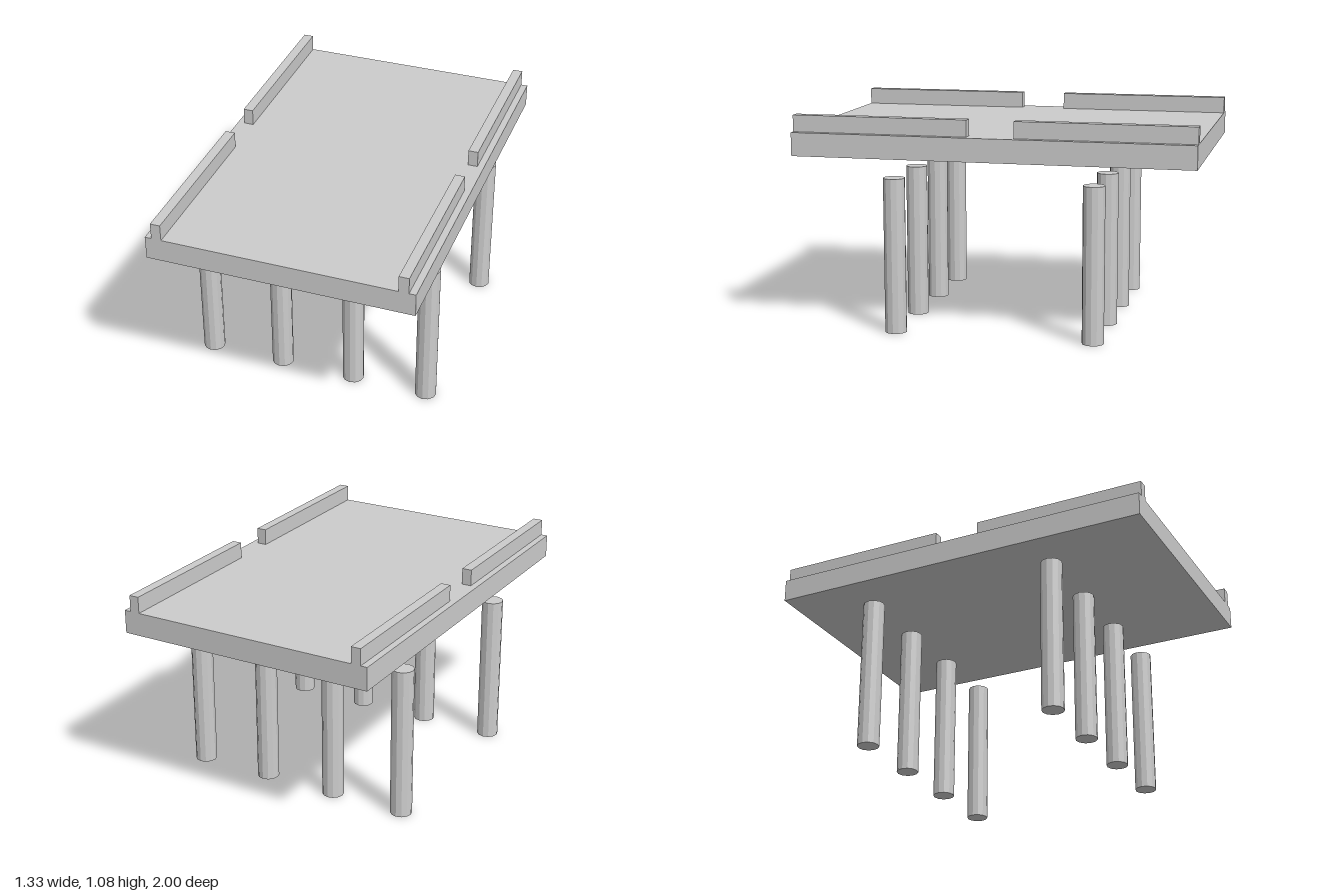
import * as THREE from 'three';

export function createModel() {
  const model = new THREE.Group();
  model.name = 'pierDeck';
  const concrete = new THREE.MeshStandardMaterial({ color: 0xcccccc, flatShading: true });
  concrete.name = 'light grey concrete';

  const add = (geometry, name, x, y, z) => {
    const mesh = new THREE.Mesh(geometry, concrete);
    mesh.name = name;
    mesh.position.set(x, y, z);
    model.add(mesh);
  };

  // Flat deck slab
  const deckTop = 1.0, deckThickness = 0.117;
  add(new THREE.BoxGeometry(1.333, deckThickness, 2), 'deck', 0, deckTop - deckThickness / 2, 0);

  // Four kerbs along the long edges, with a gap at the middle
  const kerbHeight = 0.083, kerbLength = 0.883;
  const kerb = new THREE.BoxGeometry(0.05, kerbHeight, kerbLength);
  // Two rows of four free-standing pillars below the deck
  const pillarHeight = 0.78;
  const pillar = new THREE.CylinderGeometry(0.055, 0.055, pillarHeight, 12);

  for (const [end, zSide] of [['front', 1], ['back', -1]]) {
    for (const [side, xSide] of [['Left', 1], ['Right', -1]]) {
      add(kerb, `${end}${side}Kerb`, xSide * 0.608, deckTop + kerbHeight / 2, zSide * (1 - kerbLength / 2));
      add(pillar, `${end}${side}OuterPillar`, xSide * 0.583, pillarHeight / 2, zSide * 0.5);
      add(pillar, `${end}${side}InnerPillar`, xSide * 0.194, pillarHeight / 2, zSide * 0.5);
    }
  }
  return model;
}
